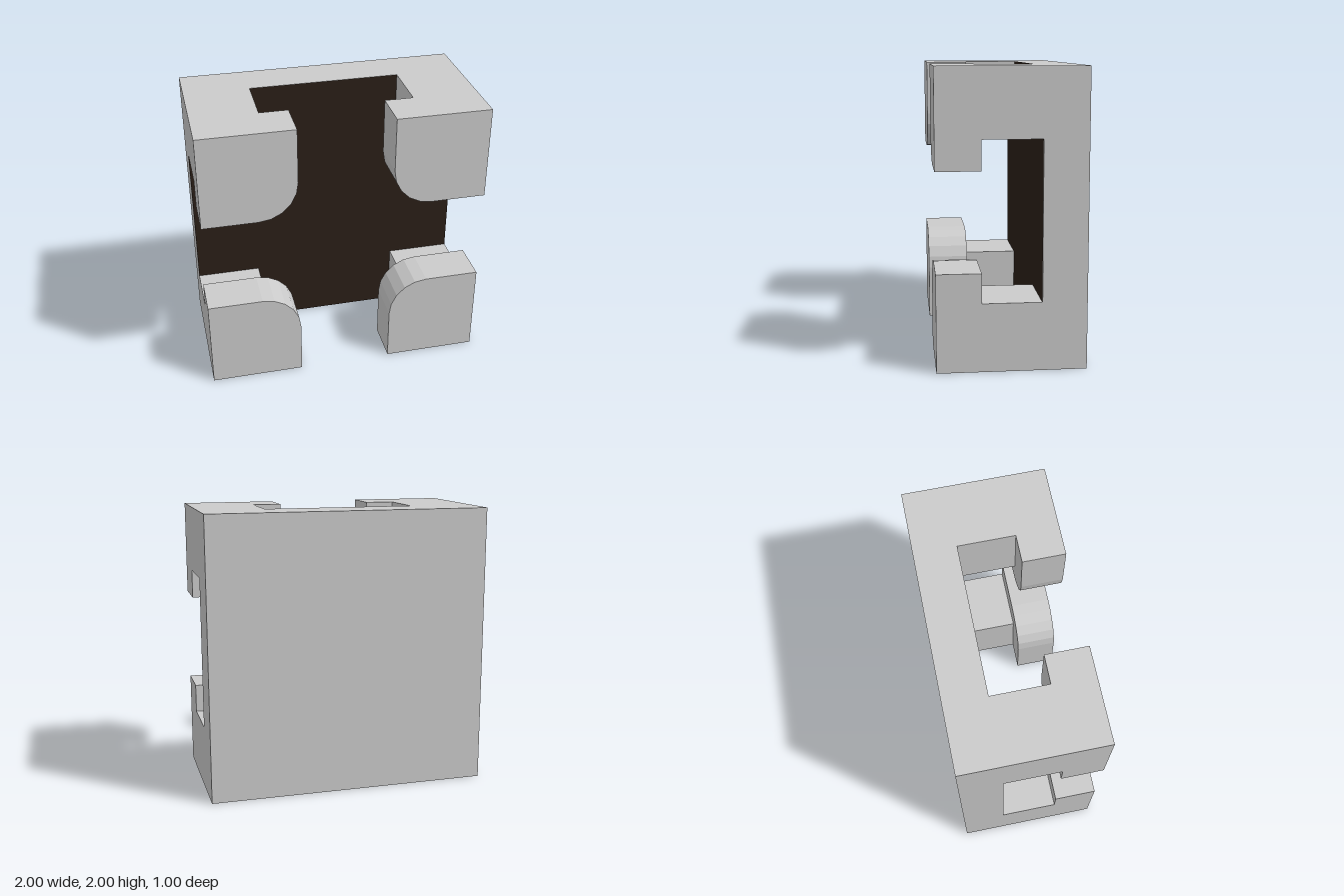
import * as THREE from 'three';

const grey = new THREE.MeshStandardMaterial({ color: 0xcccccc, flatShading: true });
const dark = new THREE.MeshStandardMaterial({ color: 0x2b1f17, flatShading: true });

const OUT = 1;        // half width of the block
const POST = 0.536;   // inner edge of the posts
const LIP = 0.334;    // inner edge of the overhanging lips
const R = 0.275;      // lip corner radius
const FLOOR = -0.2;   // z of the channel floor

function box(name, w, h, d, x, y, z) {
  const mesh = new THREE.Mesh(new THREE.BoxGeometry(w, h, d), grey);
  mesh.name = name;
  mesh.position.set(x, y, z);
  return mesh;
}

// Square lip with its inner corner rounded, mirrored by the signs
function lip(sx, sy) {
  const pts = [[OUT, OUT], [LIP, OUT]];
  for (let i = 0; i <= 5; i++) {
    const a = (i / 5) * Math.PI / 2;
    pts.push([LIP + R - R * Math.cos(a), LIP + R - R * Math.sin(a)]);
  }
  pts.push([OUT, LIP]);
  const shape = new THREE.Shape(pts.map(([x, y]) => new THREE.Vector2(x * sx, y * sy)));
  const mesh = new THREE.Mesh(
    new THREE.ExtrudeGeometry(shape, { depth: 0.3, bevelEnabled: false }), grey);
  mesh.name = 'lip';
  mesh.position.set(0, 1, 0.2);
  return mesh;
}

export function createModel() {
  const model = new THREE.Group();
  model.name = 'crossChannelBlock';

  // Back plate
  model.add(box('backPlate', 2, 2, 0.3, 0, 1, -0.35));

  // Dark cross-shaped channel floor
  const cross = new THREE.Shape([
    [-POST, -OUT], [POST, -OUT], [POST, -POST], [OUT, -POST], [OUT, POST], [POST, POST],
    [POST, OUT], [-POST, OUT], [-POST, POST], [-OUT, POST], [-OUT, -POST], [-POST, -POST],
  ].map(([x, y]) => new THREE.Vector2(x, y)));
  const floor = new THREE.Mesh(new THREE.ShapeGeometry(cross), dark);
  floor.name = 'channelFloor';
  floor.position.set(0, 1, FLOOR + 0.002);
  model.add(floor);

  // Four corners: a post carrying an overhanging lip
  const size = OUT - POST;
  const mid = (OUT + POST) / 2;
  for (const sx of [-1, 1]) {
    for (const sy of [-1, 1]) {
      const corner = new THREE.Group();
      corner.name = (sy > 0 ? 'upper' : 'lower') + (sx > 0 ? 'Left' : 'Right') + 'Corner';
      corner.add(box('post', size, size, 0.4, sx * mid, 1 + sy * mid, 0), lip(sx, sy));
      model.add(corner);
    }
  }
  return model;
}
